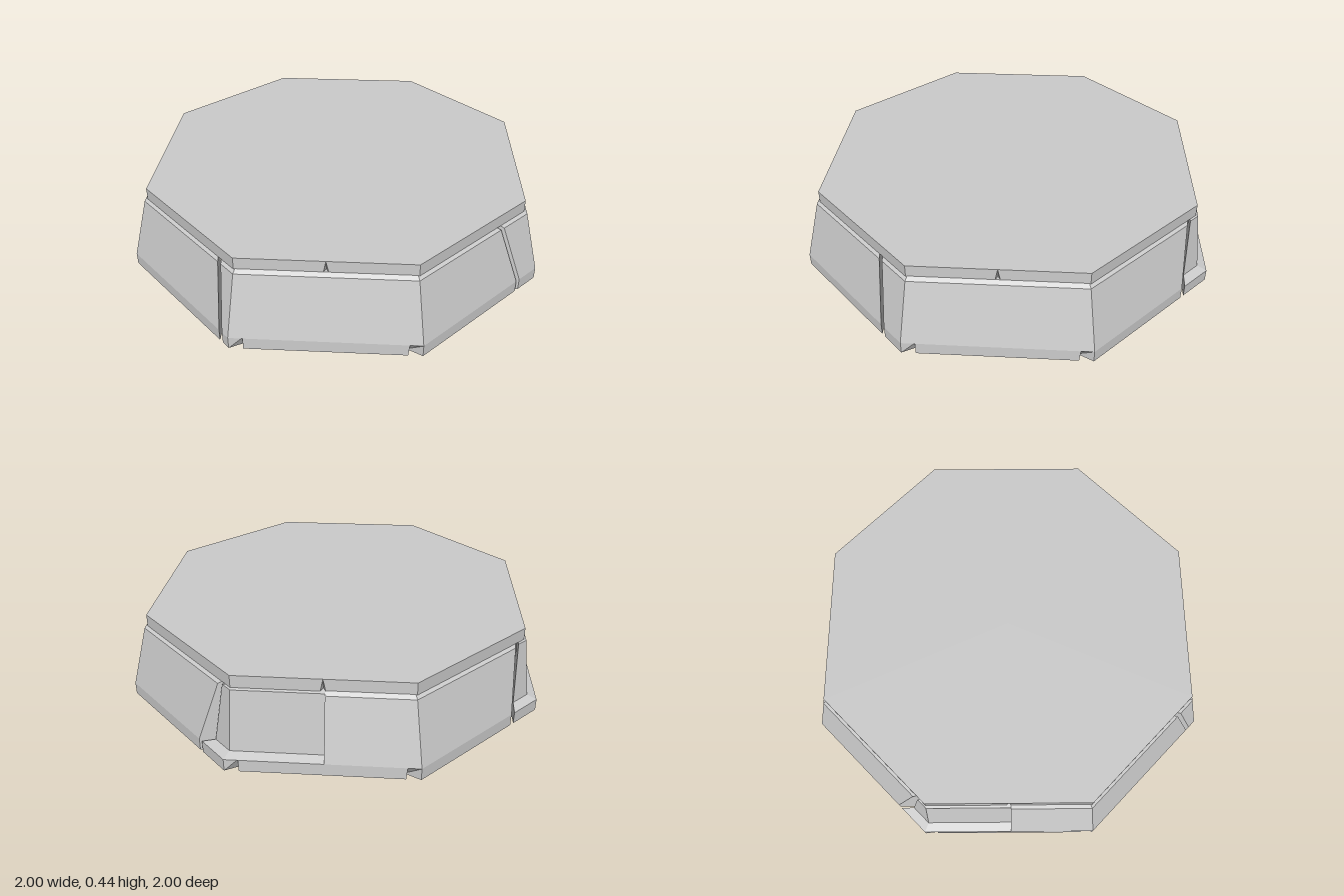
import * as THREE from 'three';

const material = new THREE.MeshStandardMaterial({ color: 0xcccccc, flatShading: true });
const HALF = 0.43; // half side length of the octagon at radius 1
const GAP = 0.008; // half width of a crack

// Profiles as [radius, height], from inner bottom round to inner top
const FULL = [[0.9, 0], [1, 0], [1, 0.06], [0.925, 0.362], [0.908, 0.378], [0.885, 0.378]];
const BROKEN = [[0.9, 0], [1, 0], [1, 0.06], [0.955, 0.075], [0.92, 0.37], [0.885, 0.378]];
const SLAB = [[0, 0.375], [0.908, 0.375], [0.908, 0.435], [0, 0.435]];

// Quarter turns about the vertical axis
function turn([x, z], k) {
  for (let i = 0; i < k; i++) [x, z] = [z, -x];
  return [x, z];
}

// Station on straight side k; chip pulls the bottom outer edge inward
const side = (k, t, chip = false) => ({ at: (s) => turn([s, t * s], k), chip });

// Station on the diagonal before side k, cut by a plane parallel to an axis
function crack(k, before) {
  const alongX = k === 1 || k === 2;
  const c = [0.53, 0.87, 0.87, 0.47][k];
  const g = before === alongX ? -GAP : GAP;
  return {
    at: (s) => {
      const other = (1 + HALF) * s - (c + g);
      return turn(alongX ? [c + g, other] : [other, c + g], k);
    },
  };
}

// Sweep a profile through stations, with capped ends if open
function sweep(name, stations, profile, closed = false) {
  const rings = stations.map((st) => profile.map(([s, y], j) => {
    const [x, z] = st.at(st.chip && j === 1 ? 0.96 : s, y);
    return [x, y, z];
  }));
  const pos = [];
  const tri = (a, b, c) => pos.push(...a, ...b, ...c);
  const n = rings.length, m = profile.length;
  for (let i = 0; i < (closed ? n : n - 1); i++) {
    const p = rings[i], q = rings[(i + 1) % n];
    for (let j = 0; j < (closed ? m - 1 : m); j++) {
      const j2 = (j + 1) % m;
      tri(p[j], q[j], q[j2]);
      tri(p[j], q[j2], p[j2]);
    }
  }
  if (!closed) {
    const a = rings[0], b = rings[n - 1];
    for (let j = 1; j < m - 1; j++) {
      tri(a[0], a[j], a[j + 1]);
      tri(b[0], b[j + 1], b[j]);
    }
  }
  const geometry = new THREE.BufferGeometry();
  geometry.setAttribute('position', new THREE.Float32BufferAttribute(pos, 3));
  geometry.computeVertexNormals();
  const mesh = new THREE.Mesh(geometry, material);
  mesh.name = name;
  return mesh;
}

export function createModel() {
  const group = new THREE.Group();
  group.name = 'octagonalPlinth';

  // Four wall blocks between cracks; two have a broken-out corner
  for (let k = 0; k < 4; k++) {
    const first = [crack(k, false), side(k, HALF), side(k, 0.37, true), side(k, 0.365)];
    const last = [side(k, -0.365), side(k, -0.37, true), side(k, -HALF), crack((k + 1) % 4, true)];
    if (k === 1 || k === 2) {
      const mid = side(k, -0.01);
      group.add(sweep('brokenWall', [...first, mid], BROKEN));
      group.add(sweep('wall', [mid, ...last], FULL));
    } else {
      group.add(sweep('wall', [...first, ...last], FULL));
    }
  }

  // Top slab with a small V notch under the middle of each straight side
  const stations = [];
  for (let k = 0; k < 4; k++) {
    const notch = (w, depth) => ({
      at: (s, y) => turn(y < 0.4 ? [s * depth, s * w] : [s, 0], k),
    });
    stations.push(side(k, 0.437), notch(0.013, 1), notch(0, 0.975), notch(-0.013, 1), side(k, -0.437));
  }
  group.add(sweep('topSlab', stations, SLAB, true));
  return group;
}
